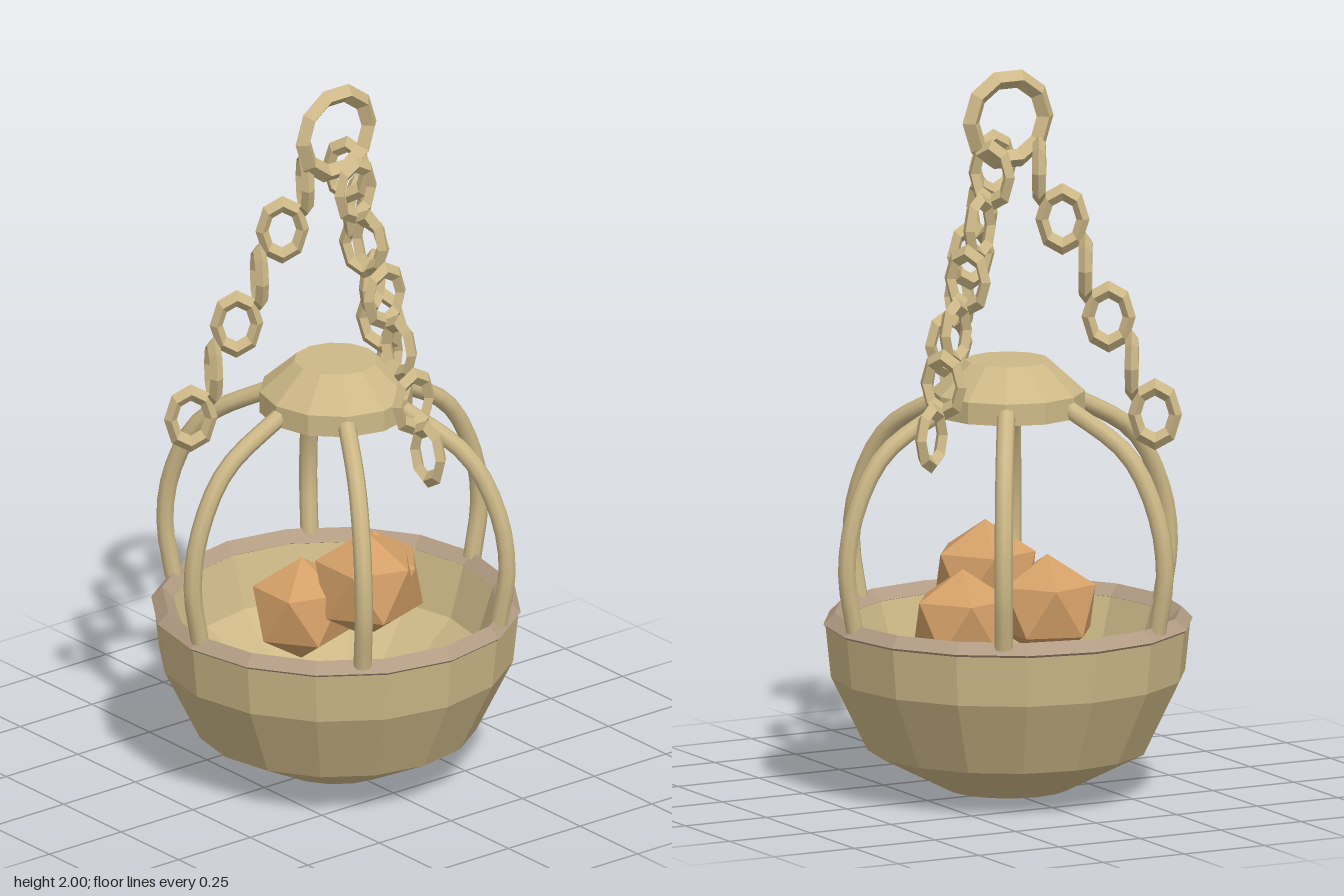
import * as THREE from 'three';

const tan = new THREE.MeshStandardMaterial({ color: 0xcdb887 });
tan.name = 'tan metal';
const brown = new THREE.MeshStandardMaterial({ color: 0xb39c84 });
brown.name = 'brown rim';
const orange = new THREE.MeshStandardMaterial({ color: 0xd39f67 });
orange.name = 'orange ember';

// Faceted copy of a geometry
function flat(geometry) {
  const g = geometry.index ? geometry.toNonIndexed() : geometry;
  g.computeVertexNormals();
  return g;
}

function add(parent, name, geometry, material, x = 0, y = 0, z = 0) {
  const mesh = new THREE.Mesh(geometry, material);
  mesh.name = name;
  mesh.position.set(x, y, z);
  parent.add(mesh);
  return mesh;
}

export function createModel() {
  const model = new THREE.Group();
  model.name = 'hangingBrazier';

  // Bowl: outer wall up, inner wall down, drain hole in the middle
  const profile = [
    [0.07, 0], [0.17, 0.015], [0.385, 0.125], [0.485, 0.33], [0.5, 0.475],
    [0.445, 0.475], [0.4, 0.33], [0.17, 0.13], [0.07, 0.08], [0.07, 0],
  ].map(([r, y]) => new THREE.Vector2(r, y));
  add(model, 'bowl', flat(new THREE.LatheGeometry(profile, 16)), tan);

  // Rim around the bowl
  const rim = new THREE.TorusGeometry(0.475, 0.031, 4, 16).rotateX(Math.PI / 2);
  add(model, 'rim', flat(rim), brown, 0, 0.475, 0);

  // Six curved ribs
  const path = new THREE.CatmullRomCurve3([
    [0.475, 0.49], [0.5, 0.65], [0.475, 0.81], [0.385, 0.97], [0.17, 1.095],
  ].map(([x, y]) => new THREE.Vector3(x, y, 0)));
  const ribGeometry = new THREE.TubeGeometry(path, 14, 0.025, 8);
  for (let i = 0; i < 6; i++) {
    add(model, 'rib', ribGeometry, tan).rotation.y = i * Math.PI / 3;
  }

  // Cap holding the ribs together
  const capProfile = [[0, 1.055], [0.21, 1.055], [0.21, 1.115], [0.115, 1.2], [0, 1.2]]
    .map(([r, y]) => new THREE.Vector2(r, y));
  add(model, 'cap', flat(new THREE.LatheGeometry(capProfile, 12)), tan);

  // Embers, each standing on a corner
  const embers = [[0, 0.58, 0.13, 0.155], [0.16, 0.49, -0.035, 0.15], [-0.125, 0.5, 0.005, 0.148]];
  for (const [x, y, z, radius] of embers) {
    const g = new THREE.IcosahedronGeometry(radius, 0);
    g.rotateX(-Math.atan((1 + Math.sqrt(5)) / 2)).rotateY(Math.PI / 2);
    // Turn the upper ring so one corner points to +x
    const p = g.attributes.position;
    let best = 0;
    for (let i = 0; i < p.count; i++) {
      if (p.getY(i) > 0 && p.getY(i) < radius * 0.9 && p.getX(i) > p.getX(best)) best = i;
      if (p.getY(best) <= 0 || p.getY(best) > radius * 0.9) best = i;
    }
    g.rotateY(Math.atan2(p.getZ(best), p.getX(best)));
    add(model, 'ember', flat(g), orange, x, y, z);
  }

  // Three chains with alternating upright links
  const linkGeometry = flat(new THREE.TorusGeometry(0.056, 0.018, 4, 8).scale(1, 1.35, 1));
  for (let c = 0; c < 3; c++) {
    const chain = new THREE.Group();
    chain.name = 'chain';
    chain.rotation.y = c * Math.PI * 2 / 3;
    for (let i = 0; i < 6; i++) {
      const link = add(chain, 'link', linkGeometry, tan, 0, 1.725 - i * 0.135, 0.085 + i * 0.063);
      link.rotation.y = (i % 2) * Math.PI / 2;
    }
    model.add(chain);
  }

  // Hanging ring
  add(model, 'hangingRing', flat(new THREE.TorusGeometry(0.115, 0.026, 4, 10)), tan, 0, 1.866, 0);

  return model;
}
